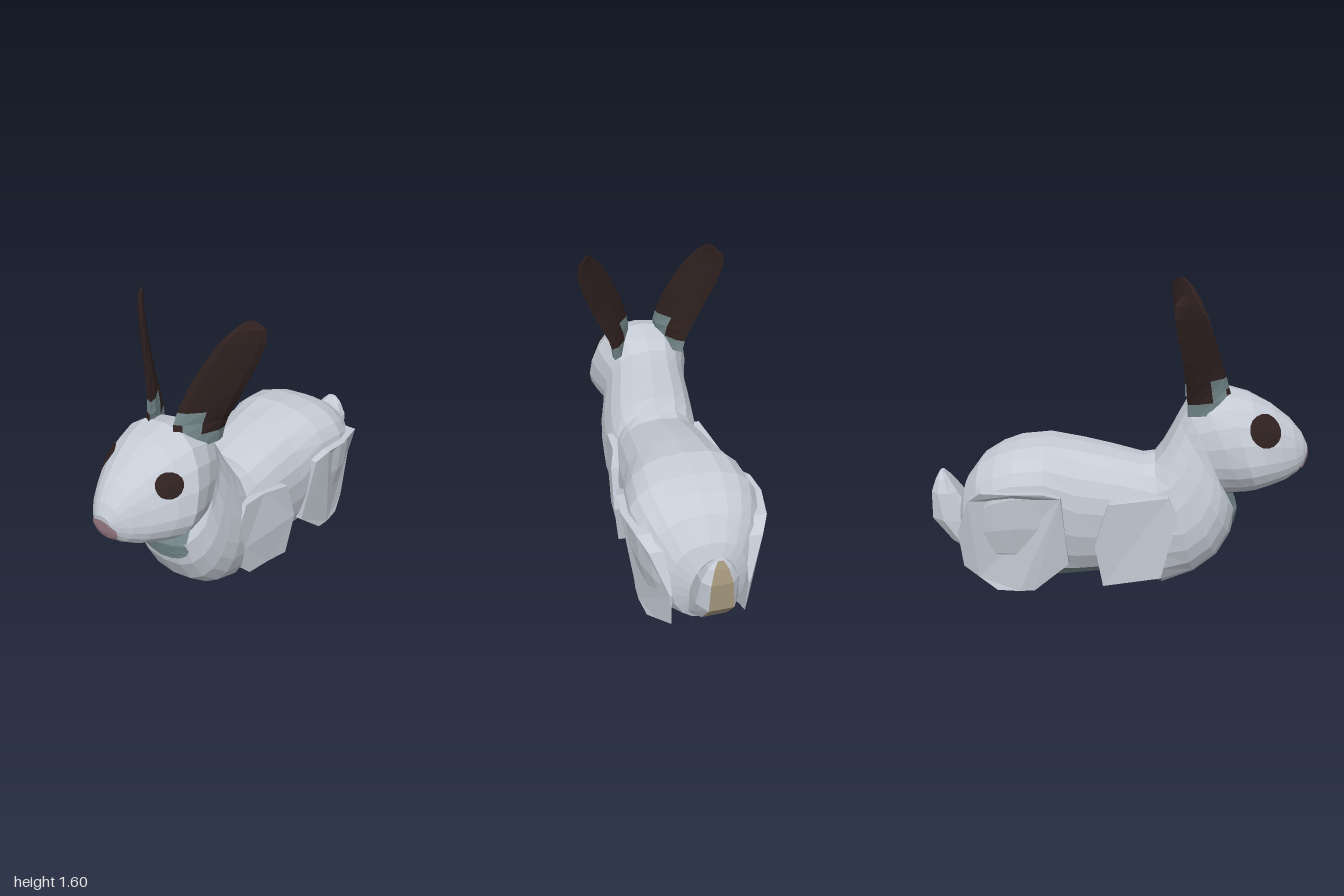
import * as THREE from 'three';

const V = (x, y, z) => new THREE.Vector3(x, y, z);

function makeMaterials() {
  const mats = {};
  const colours = { fur: 0xc6ccd6, greyFur: 0x74878a, darkBrown: 0x2f2120, nosePink: 0x9a7c87, tailTan: 0xa3967c };
  for (const [name, color] of Object.entries(colours)) {
    mats[name] = new THREE.MeshStandardMaterial({ color, flatShading: true });
    mats[name].name = name;
  }
  mats.darkBrown.side = mats.greyFur.side = mats.nosePink.side = THREE.DoubleSide;
  return mats;
}

// Skin over rings; each row has ends a and b, a half-width vector w and the height m of the widest point.
// pick(centre, normal) tells whether a face takes the second material.
function loft(rows, sides, pick, power, turn = 0) {
  const rings = rows.map(({ a, b, w, m = 0.5 }) => Array.from({ length: sides }, (_, i) => {
    const t = ((i + turn) / sides) * Math.PI * 2, c = Math.cos(t), s = Math.sin(t);
    const h = c > 0 ? m + (1 - m) * c : m + m * c;
    return b.clone().lerp(a, h).addScaledVector(w, Math.sign(s) * Math.abs(s) ** power);
  }));
  const faces = [];
  for (let r = 0; r < rings.length - 1; r++) {
    for (let i = 0; i < sides; i++) {
      const j = (i + 1) % sides, p = rings[r], q = rings[r + 1];
      faces.push([p[i], p[j], q[j], q[i]]);
    }
  }
  faces.push([...rings[0]].reverse(), rings[rings.length - 1]);

  let volume = 0;
  for (const f of faces) {
    for (let k = 1; k < f.length - 1; k++) volume += f[0].dot(f[k].clone().cross(f[k + 1]));
  }
  const buckets = [[], []];
  for (const f of faces) {
    if (volume < 0) f.reverse();
    const centre = f.reduce((s, p) => s.add(p), V(0, 0, 0)).divideScalar(f.length);
    const n = f[1].clone().sub(f[0]).cross(f[2].clone().sub(f[0])).normalize();
    const bucket = buckets[pick(centre, n) ? 1 : 0];
    for (let k = 1; k < f.length - 1; k++) bucket.push(f[0], f[k], f[k + 1]);
  }
  const geo = new THREE.BufferGeometry().setFromPoints(buckets.flat());
  geo.addGroup(0, buckets[0].length, 0);
  geo.addGroup(buckets[0].length, buckets[1].length, 1);
  geo.computeVertexNormals();
  return geo;
}

// Thin oval patch projected onto a mesh along dir, lying just above its surface and ending at its outline
function patch(target, centre, dir, u, v) {
  const ray = new THREE.Raycaster(), pts = [], index = [];
  const rings = 4, segments = 16;
  for (let r = 0; r <= rings; r++) {
    for (let i = 0; i < segments; i++) {
      const t = (i / segments) * Math.PI * 2, k = r / rings;
      const o = centre.clone().addScaledVector(u, k * Math.cos(t)).addScaledVector(v, k * Math.sin(t));
      ray.set(o, dir);
      const hit = ray.intersectObject(target)[0];
      pts.push(hit ? hit.point.clone().addScaledVector(dir, -0.008) : pts[pts.length - segments].clone());
      if (r < rings) {
        const a = r * segments + i, b = r * segments + (i + 1) % segments;
        index.push(a, a + segments, b + segments, a, b + segments, b);
      }
    }
  }
  const geo = new THREE.BufferGeometry().setFromPoints(pts);
  geo.setIndex(index);
  geo.computeVertexNormals();
  return geo;
}

// Flat-sided leg cut from a (z, y) outline; outer(y, z) gives the outer x
function legSlab(outline, side, inner, outer) {
  const shape = new THREE.Shape(outline.map(([z, y]) => new THREE.Vector2(-side * z, y)));
  const geo = new THREE.ExtrudeGeometry(shape, { depth: 1, bevelEnabled: false });
  geo.rotateY(side * Math.PI / 2);
  const p = geo.attributes.position;
  for (let i = 0; i < p.count; i++) {
    p.setX(i, side * (Math.abs(p.getX(i)) > 0.5 ? outer(p.getY(i), p.getZ(i)) : inner));
  }
  geo.computeVertexNormals();
  return geo;
}

export function createModel() {
  const group = new THREE.Group();
  const m = makeMaterials();
  const add = (name, geo, mat) => {
    const mesh = new THREE.Mesh(geo, mat);
    mesh.name = name;
    group.add(mesh);
    return mesh;
  };

  // Body, neck and head in one skin: top z, top y, bottom z, bottom y, half width, widest height
  const bodyRows = [
    [-0.84, 0.46, -0.84, 0.24, 0.09, 0.5], [-0.8, 0.58, -0.8, 0.13, 0.19, 0.55],
    [-0.72, 0.69, -0.7, 0.07, 0.265, 0.66], [-0.62, 0.75, -0.62, 0.04, 0.308, 0.7],
    [-0.52, 0.785, -0.52, 0.03, 0.33, 0.72], [-0.36, 0.805, -0.38, 0.03, 0.315, 0.7],
    [-0.18, 0.78, -0.2, 0.05, 0.29, 0.6], [-0.02, 0.745, -0.06, 0.065, 0.275, 0.6],
    [0.14, 0.705, 0.1, 0.04, 0.262, 0.6], [0.2, 0.72, 0.25, 0.003, 0.26, 0.5],
    [0.24, 0.78, 0.42, 0.08, 0.275, 0.42], [0.27, 0.84, 0.54, 0.18, 0.27, 0.4],
    [0.29, 0.88, 0.61, 0.31, 0.26, 0.4], [0.32, 0.94, 0.635, 0.44, 0.24, 0.42],
    [0.36, 1.01, 0.585, 0.53, 0.235, 0.4], [0.44, 1.055, 0.68, 0.545, 0.268, 0.37],
    [0.56, 1.085, 0.73, 0.56, 0.285, 0.36], [0.68, 1.055, 0.8, 0.58, 0.248, 0.36],
    [0.8, 0.995, 0.88, 0.605, 0.188, 0.36], [0.9, 0.92, 0.94, 0.64, 0.13, 0.38],
    [0.96, 0.85, 0.97, 0.67, 0.085, 0.45], [0.99, 0.79, 0.985, 0.71, 0.05, 0.5],
  ].map(([tz, ty, bz, by, w, mid]) => ({ a: V(0, ty, tz), b: V(0, by, bz), w: V(w, 0, 0), m: mid }));
  const underside = (c, n) => {
    const x = Math.abs(c.x);
    const belly = n.y < -0.5 && (c.z < 0.28 ? c.y < 0.11 : c.y < 0.16 && x < 0.1);
    const throat = c.z > 0.5 && c.z < 0.72 && c.y > 0.44 && c.y < 0.58 && x < 0.16;
    return belly || throat;
  };
  const body = add('body', loft(bodyRows, 20, underside, 0.75), [m.fur, m.greyFur]);

  // Tail, upright with a tan back: y, front z, back z, half width
  const tailRows = [
    [0.14, -0.68, -0.79, 0.1], [0.22, -0.7, -0.9, 0.11], [0.35, -0.75, -1.005, 0.11],
    [0.5, -0.85, -1, 0.095], [0.57, -0.9, -0.975, 0.06], [0.605, -0.93, -0.955, 0.025],
  ].map(([y, f, b, w]) => ({ a: V(0, y, f), b: V(0, y, b), w: V(w, 0, 0) }));
  const tailBack = (c, n) => n.z < -0.7 && Math.abs(c.x) < 0.03;
  add('tail', loft(tailRows, 8, tailBack, 0.6, 0.5), [m.fur, m.tailTan]);

  // Face and throat patches
  add('nose', patch(body, V(0, 0.715, 2), V(0, 0, -1), V(0.078, 0, 0), V(0, 0.058, 0)), m.nosePink);
  add('throatPatch', patch(body, V(0, 0.435, 0.72), V(0, 0, -1), V(0.17, 0, 0), V(0, 0.085, 0)), m.greyFur);

  // Ear rows: y, front edge x and z, back edge x and z, half thickness
  const earRows = [
    [0.98, 0.09, 0.59, 0.19, 0.36, 0.03], [1.045, 0.08, 0.588, 0.203, 0.357, 0.03],
    [1.1, 0.072, 0.572, 0.222, 0.353, 0.028], [1.16, 0.082, 0.555, 0.252, 0.347, 0.027],
    [1.27, 0.115, 0.52, 0.302, 0.33, 0.024], [1.4, 0.175, 0.475, 0.356, 0.3, 0.02],
    [1.5, 0.23, 0.43, 0.386, 0.283, 0.017], [1.56, 0.275, 0.39, 0.382, 0.28, 0.013],
    [1.598, 0.312, 0.345, 0.335, 0.31, 0.006],
  ];
  const haunch = [
    [-0.27, 0.58], [-0.36, 0.61], [-0.5, 0.61], [-0.68, 0.6], [-0.75, 0.54], [-0.83, 0.33],
    [-0.81, 0.13], [-0.72, 0.09], [-0.62, 0.03], [-0.5, 0.035], [-0.42, 0.04], [-0.24, 0.19],
  ];
  const frontLeg = [
    [0.33, 0.45], [0.27, 0.57], [0.12, 0.56], [-0.03, 0.545], [-0.1, 0.32],
    [-0.06, 0.08], [0.08, 0.095], [0.24, 0.12], [0.28, 0.3],
  ];

  for (const side of [1, -1]) {
    const label = side > 0 ? 'left' : 'right';

    // Ears: thin blades with grey roots
    const rows = earRows.map(([y, fx, fz, bx, bz, t]) => {
      const a = V(side * fx, y, fz), b = V(side * bx, y, bz);
      const w = a.clone().sub(b).cross(V(0, 1, 0)).setLength(t);
      return { a, b, w };
    });
    const earRoot = (c) => c.y < 1.04 || (c.y < 1.15 && c.z > 0.48 && c.z < 0.56);
    add(label + 'Ear', loft(rows, 8, earRoot, 0.9), [m.darkBrown, m.greyFur]);

    // Eyes, leaning back, the right one a little larger
    const size = side > 0 ? 1 : 1.4;
    add(label + 'Eye', patch(body, V(side * 2, 0.91, 0.75), V(-side, 0, 0),
      V(0, 0.024, -0.058).multiplyScalar(size), V(0, 0.05, 0.012).multiplyScalar(size)), m.darkBrown);

    // Legs
    add(label + 'Haunch', legSlab(haunch, side, 0.19,
      (y, z) => 0.28 + 0.138 * (y - 0.03) - (z < -0.5 ? 1.1 : 0.5) * (z + 0.5) ** 2), m.fur);
    add(label + 'FrontLeg', legSlab(frontLeg, side, 0.17,
      (y, z) => 0.268 + Math.max(0, 0.1 - z) * (0.1 + 0.4 * y)), m.fur);
  }
  return group;
}
